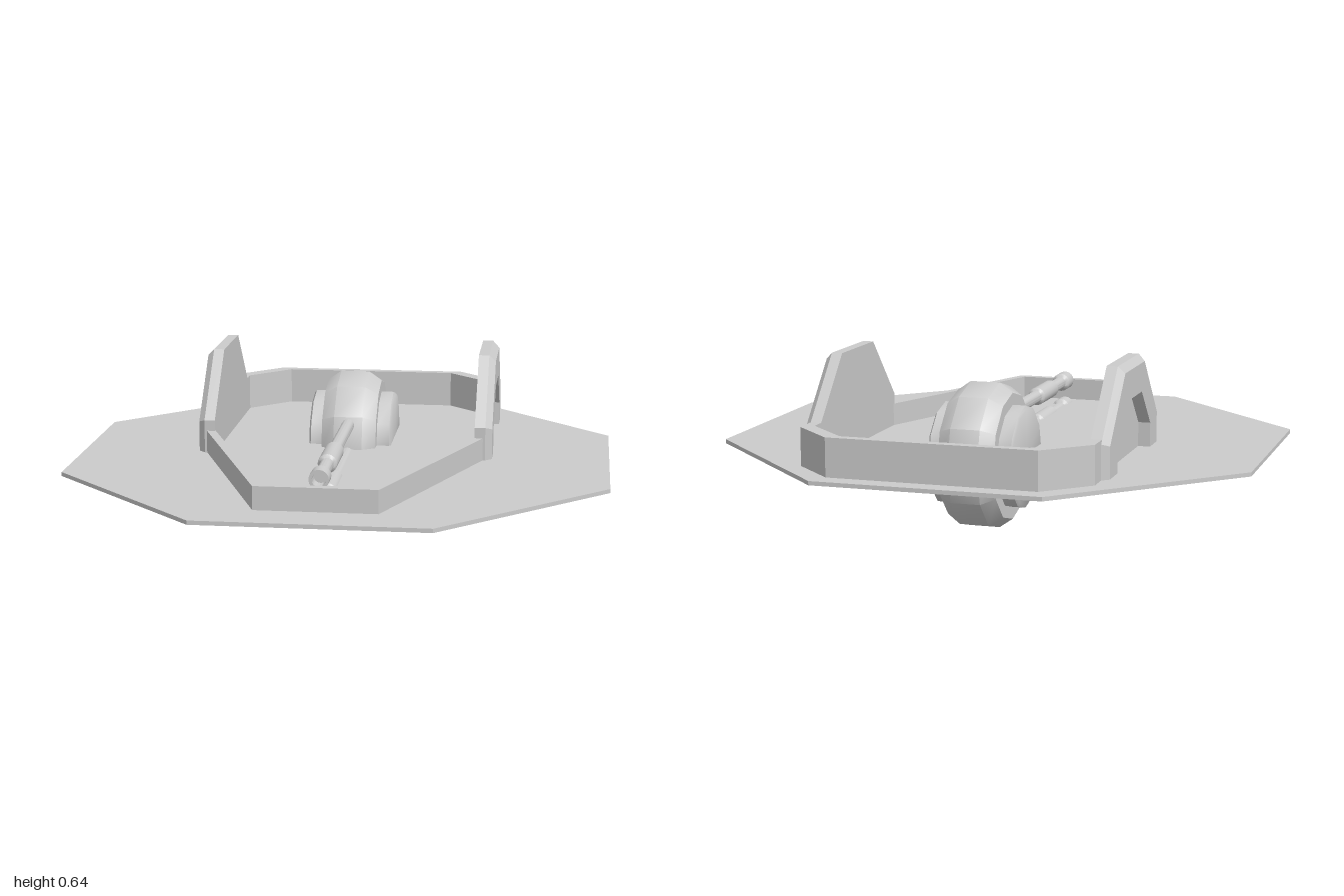
import * as THREE from 'three';
import { toCreasedNormals } from 'three/addons/utils/BufferGeometryUtils.js';

const FLOOR = 0.28;
const CENTRE_Z = -0.325;

const material = new THREE.MeshStandardMaterial({ color: 0xcccccc });

function addMesh(parent, name, geometry) {
  const mesh = new THREE.Mesh(geometry, material);
  mesh.name = name;
  parent.add(mesh);
  return mesh;
}

// Extrude a ground plan given as [x, z] points upward from y0 to y1
function extrudePlan(plan, y0, y1) {
  const shape = new THREE.Shape(plan.map(([x, z]) => new THREE.Vector2(x, -z)));
  const geo = new THREE.ExtrudeGeometry(shape, { depth: y1 - y0, bevelEnabled: false });
  return geo.rotateX(-Math.PI / 2).translate(0, y0, 0);
}

// A band between half outlines (x > 0) and their mirror images
function bandPlan(outer, inner) {
  const mirror = (pts) => pts.map(([x, z]) => [-x, z]).reverse();
  return [...outer, ...mirror(outer), ...mirror(inner).reverse(), ...[...inner].reverse()];
}

function lathe(profile, segments) {
  const pts = profile.map(([r, h]) => new THREE.Vector2(r, h));
  return toCreasedNormals(new THREE.LatheGeometry(pts, segments), 0.63);
}

// Six-point arch outline in the plane x = const
function arch(x, halfBase, shoulderY, halfTop, topY) {
  return [
    [halfBase, FLOOR], [halfBase, shoulderY], [halfTop, topY],
    [-halfTop, topY], [-halfBase, shoulderY], [-halfBase, FLOOR],
  ].map(([z, y]) => [x, y, CENTRE_Z + z]);
}

// Skin consecutive arches and cap both ends; side = -1 mirrors the panel
function archPanel(side) {
  const sections = [
    arch(0.495, 0.375, 0.415, 0.155, 0.65),
    arch(0.535, 0.375, 0.415, 0.155, 0.65),
    arch(0.56, 0.35, 0.405, 0.145, 0.625),
    arch(0.56, 0.245, 0.38, 0.105, 0.52),
    arch(0.515, 0.245, 0.38, 0.105, 0.52),
  ];
  const positions = [];
  const tri = (a, b, c) => {
    for (const [x, y, z] of side > 0 ? [a, b, c] : [a, c, b]) positions.push(side * x, y, z);
  };
  for (let s = 0; s < sections.length - 1; s++) {
    const a = sections[s], b = sections[s + 1];
    for (let i = 0; i < 5; i++) {
      tri(a[i], b[i], a[i + 1]);
      tri(b[i], b[i + 1], a[i + 1]);
    }
  }
  const first = sections[0], last = sections[sections.length - 1];
  for (let i = 1; i < 5; i++) {
    tri(first[0], first[i], first[i + 1]);
    tri(last[0], last[i + 1], last[i]);
  }
  const geo = new THREE.BufferGeometry();
  geo.setAttribute('position', new THREE.Float32BufferAttribute(positions, 3));
  geo.computeVertexNormals();
  return geo;
}

export function createModel() {
  const model = new THREE.Group();
  model.name = 'turretPlatform';

  // Thin octagonal base
  const c = 0.414;
  addMesh(model, 'basePlate', extrudePlan(
    [[c, 1], [1, c], [1, -c], [c, -1], [-c, -1], [-1, -c], [-1, c], [-c, 1]], 0.275, 0.29));

  // Low tapering wall at the front, taller wall around the back
  addMesh(model, 'frontWall', extrudePlan(bandPlan(
    [[0.53, 0.04], [0.217, 0.845]],
    [[0.495, 0.04], [0.195, 0.812]]), FLOOR, 0.375));
  addMesh(model, 'backWall', extrudePlan(bandPlan(
    [[0.535, -0.69], [0.535, -0.78], [0.38, -0.93]],
    [[0.495, -0.69], [0.495, -0.745], [0.34, -0.895]]), FLOOR, 0.43));

  // Raised side panels with an arched recess outside
  addMesh(model, 'leftSidePanel', archPanel(1));
  addMesh(model, 'rightSidePanel', archPanel(-1));

  // Rounded turret drum lying across the platform, with hub discs
  const half = [[0.055, 0.27], [0.105, 0.235], [0.105, 0.19], [0.153, 0.19], [0.16, 0.18], [0.16, 0]];
  const drumProfile = [
    ...half.map(([x, r]) => [r, -x]).reverse(),
    ...half.map(([x, r]) => [r, x]),
  ];
  const drum = addMesh(model, 'turretDrum', lathe(drumProfile, 12).rotateZ(-Math.PI / 2));
  drum.position.set(0, 0.275, CENTRE_Z);

  // Twin barrels, one above the other, with sleeve and hollow muzzle
  const barrelProfile = [
    [0.024, -0.2], [0.024, 0.325], [0.035, 0.335], [0.035, 0.525], [0.024, 0.535],
    [0.024, 0.675], [0.036, 0.69], [0.036, 0.755], [0.025, 0.755], [0.025, 0.7], [0, 0.7],
  ];
  for (const [name, y] of [['upperBarrel', 0.38], ['lowerBarrel', 0.274]]) {
    const barrel = addMesh(model, name, lathe(barrelProfile, 16).rotateX(Math.PI / 2));
    barrel.position.y = y;
  }

  return model;
}
